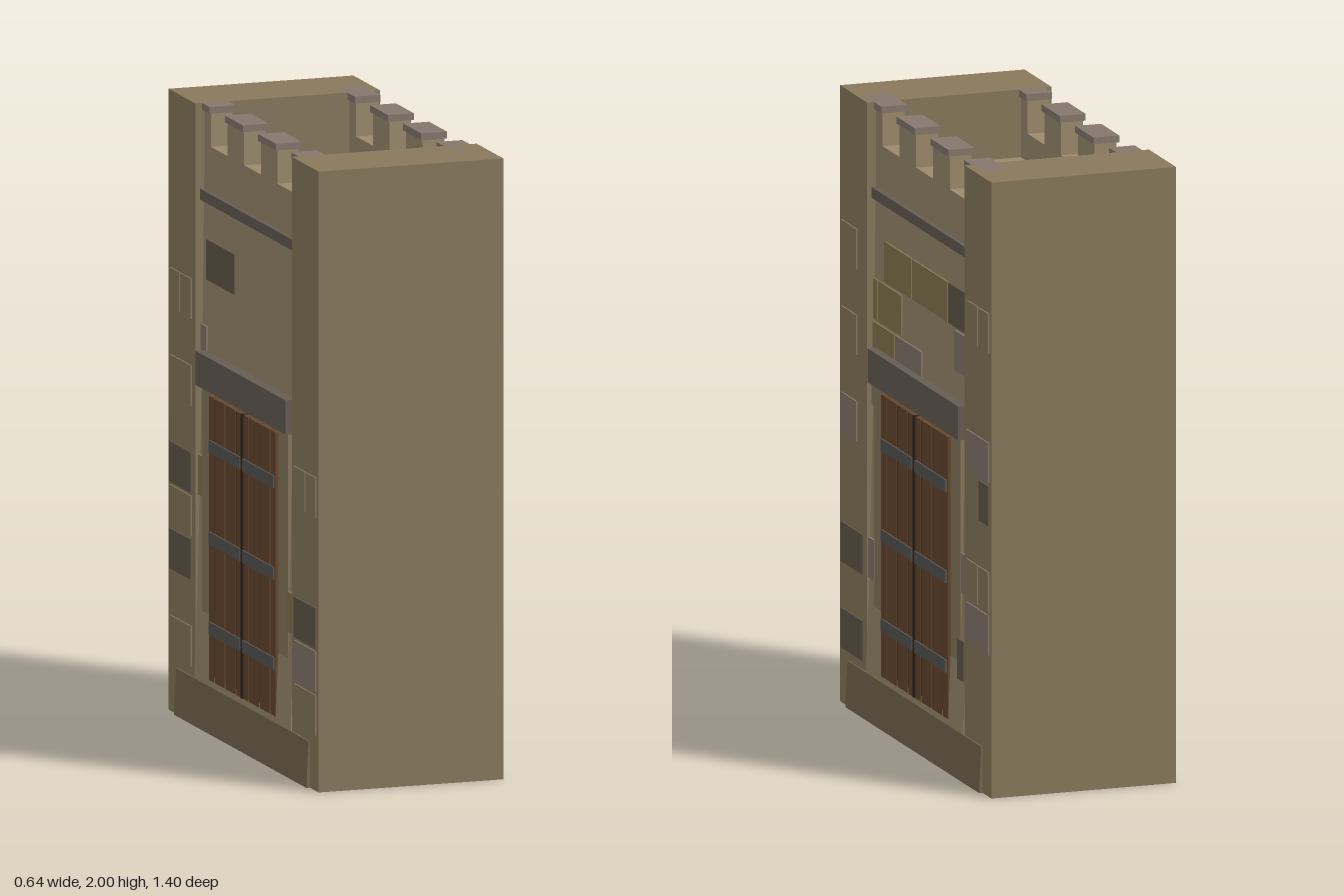
import * as THREE from 'three';

const C = { tower: 0x88785c, wall: 0x9a8a6c, plinth: 0x75664f, trim: 0x665c54, tan: 0x87754f,
  purple: 0x85776c, dark: 0x615849, wood: 0x65472d, gap: 0x2e2118, iron: 0x555552 };
const mats = {};
const mat = (k) => (mats[k] ??= new THREE.MeshStandardMaterial({ color: C[k], flatShading: true }));

// Box given by its limits on each axis
function box(parent, name, key, x0, x1, y0, y1, z0, z1) {
  const m = new THREE.Mesh(new THREE.BoxGeometry(Math.abs(x1 - x0), y1 - y0, Math.abs(z1 - z0)), mat(key));
  m.position.set((x0 + x1) / 2, (y0 + y1) / 2, (z0 + z1) / 2);
  m.name = name;
  parent.add(m);
  return m;
}

// Symmetric x-y section extruded along z; half is a list of [x, y] going up the +x side
function sectionAlongZ(parent, name, key, half, halfZ) {
  const pts = [...half, ...half.map(([x, y]) => [-x, y]).reverse()];
  const shape = new THREE.Shape(pts.map(([x, y]) => new THREE.Vector2(x, y)));
  const geo = new THREE.ExtrudeGeometry(shape, { depth: halfZ * 2, bevelEnabled: false });
  geo.translate(0, 0, -halfZ);
  const m = new THREE.Mesh(geo, mat(key));
  m.name = name;
  parent.add(m);
}

// Battered outer face of the gate wall
const PROFILE = [[0.318, 0], [0.311, 0.24], [0.303, 0.42], [0.288, 1.1], [0.281, 1.69], [0.28, 1.78]];
function wallX(y) {
  for (let i = 1; i < PROFILE.length; i++) {
    const [xa, ya] = PROFILE[i - 1], [xb, yb] = PROFILE[i];
    if (y <= yb) return xa + ((xb - xa) * (y - ya)) / (yb - ya);
  }
  return 0.28;
}

const rowY = (row) => 0.18 + 0.14 * row;

// Raised stones: [row, z0, z1, colour]
const TOWER_STONES = {
  1: [
    [9, 0.54, 0.68, 'tower'], [7, 0.54, 0.68, 'tower'], [5, 0.54, 0.68, 'purple'],
    [2, 0.48, 0.68, 'dark'], [0, 0.48, 0.68, 'dark'],
    [9, -0.58, -0.48, 'tower'], [9, -0.68, -0.59, 'tower'], [6, -0.68, -0.48, 'purple'],
    [5, -0.68, -0.595, 'dark'], [3, -0.58, -0.48, 'tower'], [3, -0.68, -0.59, 'tower'],
    [2, -0.68, -0.48, 'purple'],
  ],
  '-1': [
    [5, 0.48, 0.58, 'tower'], [5, 0.59, 0.68, 'tower'], [2, 0.48, 0.68, 'dark'],
    [1, 0.48, 0.68, 'purple'], [0, 0.48, 0.68, 'tower'],
    [8, -0.58, -0.48, 'tower'], [8, -0.68, -0.59, 'tower'], [6, -0.68, -0.48, 'tower'],
    [4, -0.68, -0.48, 'dark'], [3, -0.68, -0.48, 'tower'], [2, -0.68, -0.48, 'dark'],
    [0, -0.68, -0.48, 'tower'],
  ],
};
const WALL_STONES = {
  1: [
    [9, 0.1, 0.35, 'tan'], [9, -0.23, 0.09, 'tan'], [9, -0.45, -0.24, 'dark'],
    [8, 0.41, 0.45, 'tan'], [8, 0.19, 0.4, 'tan'], [8, -0.45, -0.3, 'purple'],
    [7, 0.25, 0.45, 'tan'], [7, 0, 0.24, 'purple'],
    [6, 0.4, 0.45, 'purple'], [3, -0.45, -0.39, 'purple'], [2, 0.39, 0.45, 'purple'],
    [1, -0.45, -0.39, 'dark'],
  ],
  '-1': [
    [9, -0.41, -0.15, 'dark'], [7, -0.45, -0.4, 'purple'], [7, 0.4, 0.45, 'purple'],
    [4, -0.45, -0.39, 'tan'], [2, 0.39, 0.45, 'tan'],
  ],
};

function buildDoor(parent, s) {
  const door = new THREE.Group();
  door.name = 'doubleDoor';
  parent.add(door);
  box(door, 'doorBacking', 'gap', s * 0.28, s * 0.3125, 0.175, 1.08, -0.305, 0.305);
  for (const d of [-1, 1]) {
    // Planks separated by dark gaps
    const edges = [0.01, 0.06, 0.16, 0.26, 0.31];
    for (let i = 0; i < 4; i++) {
      box(door, 'doorPlank', 'wood', s * 0.28, s * 0.3145, 0.17, 1.085,
        d * (edges[i] + (i ? 0.004 : 0)), d * (edges[i + 1] - (i < 3 ? 0.004 : 0)));
    }
    for (const y of [0.34, 0.63, 0.925])
      box(door, 'ironStrap', 'iron', s * 0.3, s * 0.32, y - 0.02, y + 0.02, d * 0.012, d * 0.3);
    box(parent, 'doorJamb', 'tower', s * 0.2, s * 0.305, 0.1, 1.1, d * 0.31, d * 0.4);
  }
  box(door, 'doorSeam', 'gap', s * 0.29, s * 0.317, 0.17, 1.085, -0.009, 0.009);
}

export function createModel() {
  const g = new THREE.Group();
  g.name = 'castleGate';

  // Towers at both ends
  for (const d of [-1, 1]) box(g, 'tower', 'tower', -0.31, 0.31, 0, 2, d * 0.45, d * 0.7);

  // Gate wall with roof walk, and sloped plinth
  sectionAlongZ(g, 'gateWall', 'wall', PROFILE, 0.45);
  sectionAlongZ(g, 'plinth', 'plinth', [[0.322, 0], [0.3145, 0.15]], 0.618);

  for (const s of [-1, 1]) {
    // Parapet with merlons and caps
    box(g, 'parapet', 'wall', s * 0.207, s * 0.28, 1.76, 1.87, -0.45, 0.45);
    for (const z of [-0.465, -0.155, 0.155, 0.465]) {
      box(g, 'merlon', 'wall', s * 0.207, s * 0.28, 1.87, 1.98, z - 0.077, z + 0.077);
      box(g, 'merlonCap', 'purple', s * 0.2, s * 0.287, 1.978, 2, z - 0.084, z + 0.084);
    }
    // Trim, lintel and door
    box(g, 'stringCourse', 'trim', s * 0.25, s * 0.295, 1.69, 1.725, -0.45, 0.45);
    box(g, 'lintel', 'trim', s * 0.25, s * 0.32, 1.1, 1.21, -0.42, 0.42);
    buildDoor(g, s);
    // Raised stones
    for (const [r, a, b, k] of TOWER_STONES[s])
      box(g, 'towerStone', k, s * 0.3, s * 0.315, rowY(r), rowY(r) + 0.13, a, b);
    for (const [r, a, b, k] of WALL_STONES[s]) {
      const x = wallX(rowY(r)) + 0.005;
      box(g, 'wallStone', k, s * (x - 0.03), s * x, rowY(r), rowY(r) + 0.13, a, b);
    }
  }
  return g;
}
